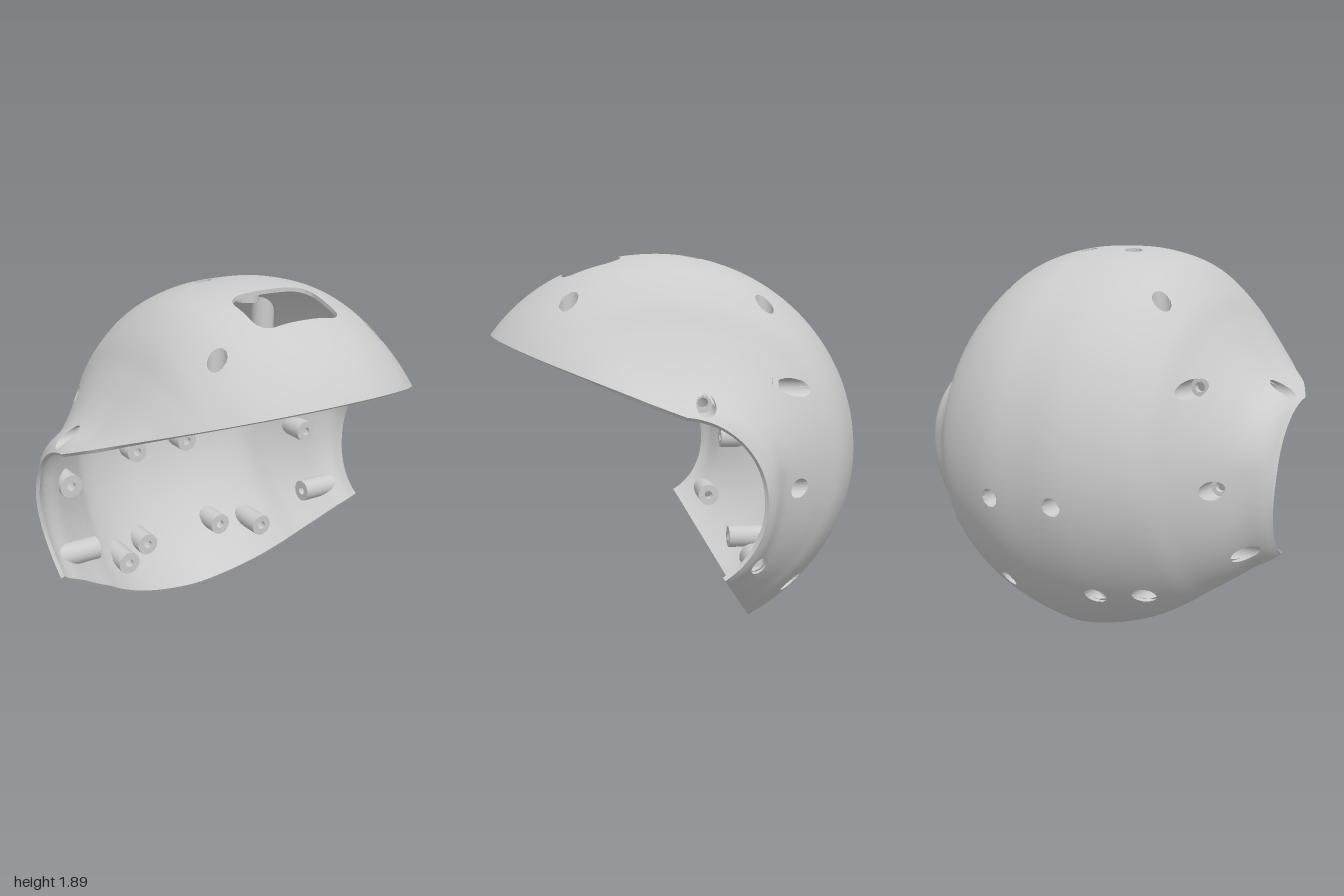
import * as THREE from 'three';
import { toCreasedNormals } from 'three/addons/utils/BufferGeometryUtils.js';

const V = (x, y, z) => new THREE.Vector3(x, y, z);
const X = V(1, 0, 0), Y = V(0, 1, 0), Z = V(0, 0, 1);
const NT = 180, NS = 160, W = NS + 1;      // rows around the head, columns ear to ear
const THICK = 0.02, BORE = 0.045, SCREW = 0.024, BOSS = 0.062;
const CY = 0.89, CZ = 0.09;                // centre of the sweep

// Half profiles (x against radius) at four directions around the sweep centre
const profile = (deg, xs, rs) => {
  const half = xs.map((x, i) => V(x, rs[i], 0));
  const mirrored = half.slice(1).reverse().map(p => V(-p.x, p.y, 0));
  return { a: deg * Math.PI / 180, last: rs.at(-1), curve: new THREE.CatmullRomCurve3([...mirrored, ...half], false, 'catmullrom', 0.5) };
};
const xs = [0, 0.2, 0.4, 0.55, 0.65, 0.75, 0.85, 0.95, 1];
const keys = [
  profile(35, xs, [1.03, 1.01, 0.93, 0.82, 0.72, 0.6, 0.49, 0.4, 0.29]),
  profile(90, xs, [1.0, 0.985, 0.92, 0.79, 0.635, 0.495, 0.39, 0.33, 0.29]),
  profile(180, xs, [1.02, 1.01, 0.945, 0.86, 0.74, 0.615, 0.51, 0.445, 0.385]),
  profile(241, [0, 0.2, 0.4, 0.55, 0.65, 0.75, 0.85, 0.93, 0.97], [1.01, 0.98, 0.91, 0.82, 0.74, 0.665, 0.585, 0.53, 0.49]),
];

// Point of the outer skin at angle a and column parameter t (0..1, ear to ear)
function skin(a, t) {
  let k = 0;
  while (k < 2 && a > keys[k + 1].a) k++;
  const w = THREE.MathUtils.smoothstep(a, keys[k].a, keys[k + 1].a);
  const p = keys[k].curve.getPoint(t).lerp(keys[k + 1].curve.getPoint(t), w);
  // pull the last columns onto the round ear cut-out
  const cut = -0.11 * Math.sin(a) + Math.sqrt(0.16 - (0.11 * Math.cos(a)) ** 2);
  const last = THREE.MathUtils.lerp(keys[k].last, keys[k + 1].last, w);
  const r = p.y + (cut - last) * Math.abs(2 * t - 1) ** 10;
  return V(p.x, CY + r * Math.sin(a), CZ + r * Math.cos(a));
}
function bisect(f, lo, hi) {
  for (let i = 0; i < 40; i++) {
    const m = (lo + hi) / 2;
    if (f(m) < 0) lo = m; else hi = m;
  }
  return lo;
}

// Openings: d points into the shell, e1 x e2 = d
const opening = (d, e1, e2, c, hw = BORE, hh = BORE, r = BORE) => ({ d, e1, e2, c, hw, hh, r });
const bosses = [];
for (const s of [-1, 1]) {
  for (const [x, y, end] of [[0.66, 1.265, -0.38], [0.77, 0.81, -0.38], [0.17, 0.75, -0.77], [0.45, 0.27, -0.38], [0.25, 0.27, -0.53]])
    bosses.push({ name: 'rearBoss', ...opening(Z, X, Y, V(s * x, y, end)) });
  for (const [x, z, end] of [[0.45, -0.39, 1.49], [0.13, -0.08, 1.74], [0.45, 0.54, 1.53]])
    bosses.push({ name: 'crownBoss', ...opening(Y.clone().negate(), X, Z, V(s * x, end, z)) });
  for (const [y, z, end] of [[1.22, -0.04, 0.8], [0.47, -0.3, 0.685]])
    bosses.push({ name: 'earBoss', ...opening(X.clone().multiplyScalar(-s), s > 0 ? Z : Y, s > 0 ? Y : Z, V(s * end, y, z)) });
}
const visorWindow = opening(Y.clone().negate(), X, Z, V(0, 1.8, 0.425), 0.23, 0.145, 0.07);

// Rounded-rectangle distance and its direction in the plane of an opening
function distance(h, p) {
  const q = p.clone().sub(h.c), u = q.dot(h.e1), v = q.dot(h.e2);
  const a = Math.abs(u) - h.hw + h.r, b = Math.abs(v) - h.hh + h.r;
  const ma = Math.max(a, 0), mb = Math.max(b, 0), len = Math.hypot(ma, mb);
  const g = len > 1e-6 ? [ma / len, mb / len] : a > b ? [1, 0] : [0, 1];
  return { dist: len + Math.min(Math.max(a, b), 0) - h.r, gu: g[0] * Math.sign(u), gv: g[1] * Math.sign(v) };
}

function geometryFrom(points, index) {
  const g = new THREE.BufferGeometry().setFromPoints(points);
  if (index) g.setIndex(index);
  return g;
}

// Smooth outer grid, trimmed by the brow line and the neck line
function outerGrid() {
  const pts = [], idx = [], ends = [];
  for (let j = 0; j <= NS; j++) {
    const t = j / NS;
    ends.push([
      bisect(a => { const p = skin(a, t); return p.y - 1.16 - 0.351 * p.z; }, 0.3, 1.95),
      bisect(a => { const p = skin(a, t); return p.z + 0.39 - 0.605 * p.y; }, 3.4, 5.2),
    ]);
  }
  for (let i = 0; i <= NT; i++) for (let j = 0; j <= NS; j++)
    pts.push(skin(THREE.MathUtils.lerp(ends[j][0], ends[j][1], i / NT), j / NS));
  for (let i = 0; i < NT; i++) for (let j = 0; j < NS; j++) {
    const a = i * W + j;
    idx.push(a, a + 1, a + W, a + 1, a + W + 1, a + W);
  }
  const g = geometryFrom(pts, idx);
  g.computeVertexNormals();
  const nor = pts.map((p, i) => V().fromBufferAttribute(g.attributes.normal, i));
  return { pts, nor, idx };
}

// Cut the openings: move inner vertices to each rim, drop the enclosed faces
function buildShell({ pts, nor, idx }) {
  const owner = new Int16Array(pts.length).fill(-1);
  const outer = pts.map(p => p.clone());
  const inner = pts.map((p, i) => p.clone().addScaledVector(nor[i], -THICK));
  [...bosses, visorWindow].forEach((h, k) => pts.forEach((p, i) => {
    const dn = h.d.dot(nor[i]);
    if (dn > -0.1) return;
    const { dist, gu, gv } = distance(h, p);
    if (dist >= 0) return;
    owner[i] = k;
    const move = V().addScaledVector(h.e1, -dist * gu).addScaledVector(h.e2, -dist * gv);
    move.addScaledVector(h.d, -move.dot(nor[i]) / dn);
    outer[i].add(move);
    inner[i].copy(outer[i]).addScaledVector(h.d, THICK / Math.max(-dn, 0.3));
  }));
  const front = [], back = [], edges = new Set(), N = pts.length;
  for (let f = 0; f < idx.length; f += 3) {
    const [a, b, c] = idx.slice(f, f + 3);
    if (owner[a] >= 0 && owner[a] === owner[b] && owner[a] === owner[c]) continue;
    front.push(a, b, c);
    back.push(a, c, b);
    for (const [p, q] of [[a, b], [b, c], [c, a]]) edges.add(p * N + q);
  }
  // walls joining both skins along every open edge
  const wall = [];
  for (const e of edges) {
    const a = Math.floor(e / N), b = e % N;
    if (!edges.has(b * N + a)) wall.push(outer[b], outer[a], inner[a], outer[b], inner[a], inner[b]);
  }
  const outerG = geometryFrom(outer, front), innerG = geometryFrom(inner, back);
  outerG.setAttribute('normal', new THREE.Float32BufferAttribute(nor.flatMap(n => [n.x, n.y, n.z]), 3));
  innerG.setAttribute('normal', new THREE.Float32BufferAttribute(nor.flatMap(n => [-n.x, -n.y, -n.z]), 3));
  const rim = geometryFrom(wall);
  rim.computeVertexNormals();
  return { outerShell: outerG, innerShell: innerG, shellEdges: rim };
}

// Hollow screw boss: wide bore from outside, small screw hole at the inner end
function bossGeometry(h, { pts, nor }) {
  const SEG = 24, rings = [];
  const at = (r, j) => {
    const a = j / SEG * Math.PI * 2;
    return h.c.clone().addScaledVector(h.e1, r * Math.cos(a)).addScaledVector(h.e2, r * Math.sin(a));
  };
  const onShell = q => {                   // slide along the axis into the shell wall
    let best = 0, min = Infinity;
    pts.forEach((p, i) => {
      if (h.d.dot(nor[i]) > -0.1) return;
      const x = p.x - q.x, y = p.y - q.y, z = p.z - q.z;
      const m = (x * h.e1.x + y * h.e1.y + z * h.e1.z) ** 2 + (x * h.e2.x + y * h.e2.y + z * h.e2.z) ** 2;
      if (m < min) { min = m; best = i; }
    });
    const dn = h.d.dot(nor[best]);
    const t = pts[best].clone().sub(q).dot(nor[best]) / dn;
    return q.addScaledVector(h.d, t + THICK / 2 / Math.max(-dn, 0.3));
  };
  for (const [r, depth] of [[BORE, null], [BORE, 0.03], [SCREW, 0.03], [SCREW, 0], [BOSS, 0], [BOSS, null]])
    rings.push(Array.from({ length: SEG }, (_, j) => depth === null ? onShell(at(r, j)) : at(r, j).addScaledVector(h.d, -depth)));
  const tri = [];
  for (let i = 0; i < rings.length - 1; i++) for (let j = 0; j < SEG; j++) {
    const k = (j + 1) % SEG, [p, q] = [rings[i], rings[i + 1]];
    tri.push(p[j], q[j], p[k], p[k], q[j], q[k]);
  }
  return toCreasedNormals(geometryFrom(tri), 0.6);
}

export function createModel() {
  const group = new THREE.Group();
  group.name = 'helmetShell';
  const material = new THREE.MeshStandardMaterial({ color: 0xcccccc });
  const add = (name, geometry) => {
    const mesh = new THREE.Mesh(geometry, material);
    mesh.name = name;
    group.add(mesh);
  };
  const grid = outerGrid();
  for (const [name, geometry] of Object.entries(buildShell(grid))) add(name, geometry);
  for (const h of bosses) add(h.name, bossGeometry(h, grid));
  return group;
}
